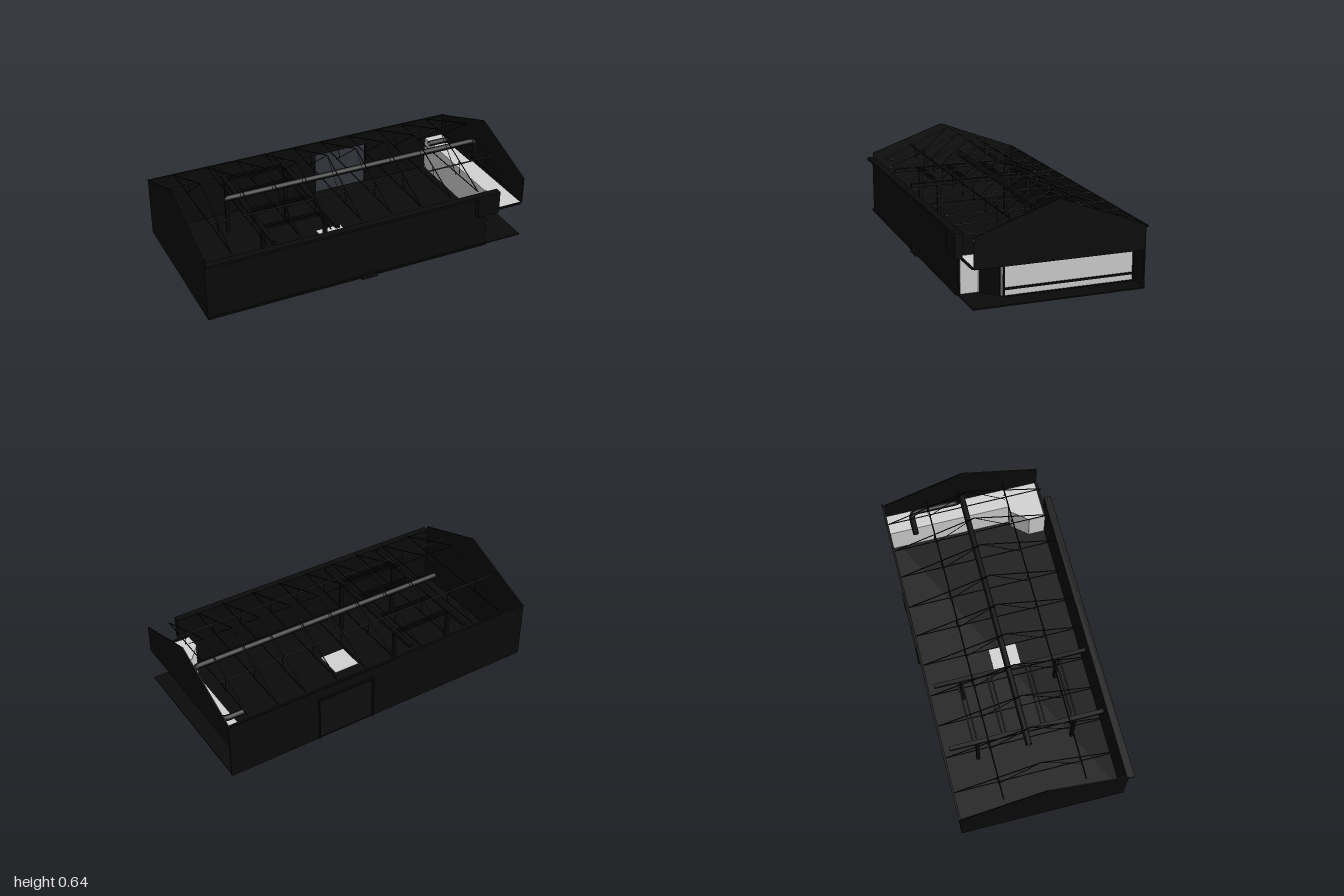
import * as THREE from 'three';

const black = new THREE.MeshStandardMaterial({ color: 0x0a0a0a, side: THREE.DoubleSide });
black.name = 'blackPaint';
const light = new THREE.MeshStandardMaterial({ color: 0xd2d2d2, side: THREE.DoubleSide });
light.name = 'lightPlaster';

export function createModel() {
  const model = new THREE.Group();
  const V = (x, y, z) => new THREE.Vector3(x, y, z);

  function add(name, geometry, material = black, parent = model) {
    const mesh = new THREE.Mesh(geometry, material);
    mesh.name = name;
    parent.add(mesh);
    return mesh;
  }
  // Box given by its minimum and maximum corners
  function box(name, [x0, y0, z0], [x1, y1, z1], material = black, parent = model) {
    const mesh = add(name, new THREE.BoxGeometry(x1 - x0, y1 - y0, z1 - z0), material, parent);
    mesh.position.set((x0 + x1) / 2, (y0 + y1) / 2, (z0 + z1) / 2);
    return mesh;
  }
  // Thin bar between two points
  function rod(name, a, b, r = 0.003, parent = model) {
    const mesh = add(name, new THREE.CylinderGeometry(r, r, a.distanceTo(b), 6), black, parent);
    mesh.position.copy(a).add(b).multiplyScalar(0.5);
    mesh.quaternion.setFromUnitVectors(V(0, 1, 0), b.clone().sub(a).normalize());
    return mesh;
  }
  // Upright panel between two plan points [x, z]
  function panel(name, [ax, az], [bx, bz], y0, y1, t, material) {
    const mesh = add(name, new THREE.BoxGeometry(Math.hypot(bx - ax, bz - az), y1 - y0, t), material);
    mesh.position.set((ax + bx) / 2, (y0 + y1) / 2, (az + bz) / 2);
    mesh.rotation.y = -Math.atan2(bz - az, bx - ax);
    return mesh;
  }
  const polygon = pts => new THREE.Shape(pts.map(p => new THREE.Vector2(...p)));

  // Floor slab and the footing block showing through it
  box('floor', [-1, 0.08, -0.5], [0.98, 0.088, 0.47]);
  box('footing', [-0.11, 0, -0.075], [0.05, 0.0895, 0.092], light);

  // Back wall with the wide doorway, and its frame
  const back = polygon([[-1, 0.085], [0.07, 0.085], [0.07, 0.365], [0.43, 0.365],
    [0.43, 0.085], [0.985, 0.085], [0.985, 0.44], [-1, 0.44]]);
  add('backWall', new THREE.ExtrudeGeometry(back, { depth: 0.008, bevelEnabled: false })).position.z = -0.5;
  for (const x of [0.07, 0.425]) box('doorwayJamb', [x, 0.085, -0.511], [x + 0.006, 0.365, -0.49]);
  box('doorwayHead', [0.07, 0.357, -0.511], [0.431, 0.367, -0.49]);
  box('backGutter', [-1, 0.43, -0.505], [1, 0.44, -0.495]);

  // Front wall, porch lintel, gutter and base ledge
  box('frontWall', [-1, 0.085, 0.462], [0.74, 0.44, 0.47]);
  box('frontLintel', [0.74, 0.3, 0.462], [0.8, 0.44, 0.47]);
  box('frontGutter', [-1, 0.425, 0.465], [0.8, 0.44, 0.505]);
  box('frontAwning', [0.66, 0.3, 0.47], [0.8, 0.43, 0.503]);
  box('baseLedge', [-1, 0.08, 0.465], [0.74, 0.09, 0.48]);
  box('frontStep', [-0.08, 0.075, 0.465], [0.02, 0.1, 0.49]);
  box('porchEdgeBeam', [0.8, 0.296, 0.46], [0.97, 0.306, 0.472]);

  // End walls: the right one goes to the floor, the left one stops above the porch
  const gable = (name, x, bottom) => {
    const shape = polygon([[0.5, bottom], [-0.465, bottom], [-0.465, 0.468], [0, 0.63], [0.5, 0.44]]);
    const mesh = add(name, new THREE.ExtrudeGeometry(shape, { depth: 0.006, bevelEnabled: false }));
    mesh.rotation.y = Math.PI / 2;
    mesh.position.x = x;
  };
  gable('rightGable', -1, 0.085);
  gable('leftGable', 0.979, 0.298);

  // Porch ceiling
  const ceiling = polygon([[0.86, 0.495], [0.979, 0.495], [0.979, -0.455], [0.74, -0.455],
    [0.74, -0.36], [0.82, -0.26], [0.86, -0.26]]);
  add('porchCeiling', new THREE.ShapeGeometry(ceiling), light).rotation.x = -Math.PI / 2;
  model.getObjectByName('porchCeiling').position.y = 0.3;

  // Recessed porch walls in plan order, with the angled door
  const plan = [[0.86, -0.495], [0.86, 0.26], [0.83, 0.26], [0.745, 0.36], [0.745, 0.46]];
  for (let i = 0; i < 4; i++) panel('porchWall', plan[i], plan[i + 1], 0.088, 0.3, 0.004, light);
  panel('angledDoor', [0.833, 0.268], [0.754, 0.355], 0.088, 0.275, 0.009, black);
  box('porchRail', [0.86, 0.126, -0.495], [0.869, 0.138, 0.26]);
  box('porchBaseTrim', [0.86, 0.085, -0.495], [0.868, 0.094, 0.26]);
  for (const z of [-0.495, 0.254]) box('porchWallPost', [0.858, 0.088, z], [0.869, 0.3, z + 0.008]);

  // Roof trusses
  const ridge = [0, 0.637], eaves = [[0.46, 0.45], [-0.49, 0.44]];
  for (const x of [-0.84, -0.635, -0.445, -0.26, -0.07, 0.115, 0.3, 0.5, 0.675, 0.855]) {
    const truss = new THREE.Group();
    truss.name = 'roofTruss';
    model.add(truss);
    const at = (z, y, dx = 0) => V(x + dx, y, z);
    rod('tieBar', at(0.46, 0.45), at(-0.49, 0.44), 0.003, truss);
    for (const [z, y] of eaves) {
      const lerp = t => [z * t, ridge[1] + (y - ridge[1]) * t];
      rod('rafter', at(...ridge), at(z, y), 0.003, truss);
      rod('strut', at(...lerp(0.5)), at(z * 0.5, 0.445, 0.012), 0.002, truss);
      rod('brace', at(...ridge), at(z * 0.5, 0.445, -0.012), 0.002, truss);
    }
  }
  for (const z of [-0.24, 0.23]) rod('purlin', V(-0.96, 0.516, z), V(0.91, 0.516, z), 0.004);

  // Duct along the hall, dropping behind the left gable
  const duct = new THREE.CurvePath();
  const corners = [V(-0.69, 0.49, -0.025), V(0.945, 0.49, -0.025), V(0.945, 0.345, -0.025),
    V(0.945, 0.345, -0.34), V(0.8, 0.345, -0.34)];
  let last = corners[0];
  for (let i = 1; i < corners.length - 1; i++) {
    const c = corners[i];
    const toward = p => c.clone().add(p.clone().sub(c).setLength(0.045));
    const a = toward(corners[i - 1]), b = toward(corners[i + 1]);
    duct.add(new THREE.LineCurve3(last, a));
    duct.add(new THREE.QuadraticBezierCurve3(a, c, b));
    last = b;
  }
  duct.add(new THREE.LineCurve3(last, corners[4]));
  add('duct', new THREE.TubeGeometry(duct, 160, 0.018, 12));

  // Overhead frame in the hall
  for (const x of [-0.59, -0.21]) {
    box('frameBeam', [x - 0.012, 0.43, -0.46], [x + 0.012, 0.45, 0.44]);
    for (const z of [-0.3, 0.27]) box('framePost', [x - 0.01, 0.088, z - 0.01], [x + 0.01, 0.43, z + 0.01]);
  }
  for (const z of [-0.31, -0.14, 0.09, 0.27]) {
    for (const d of [-0.012, 0.012]) box('frameCrossbar', [-0.59, 0.436, z + d - 0.004], [-0.21, 0.448, z + d + 0.004]);
  }
  return model;
}
